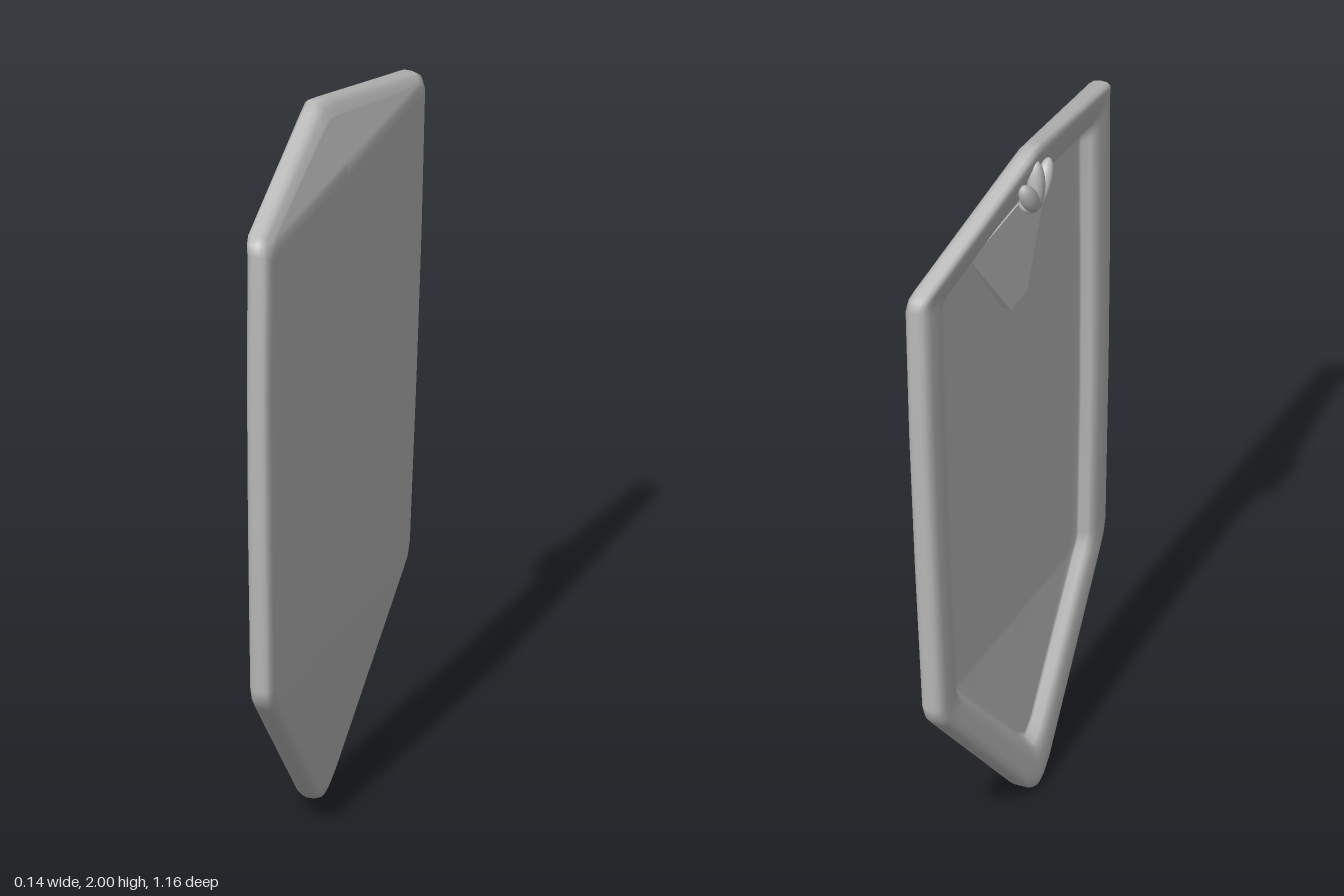
import * as THREE from 'three';
import { ConvexGeometry } from 'three/addons/geometries/ConvexGeometry.js';

const grey = new THREE.MeshStandardMaterial({ color: 0xbcbcbc });
grey.name = 'plain grey';

// Half outlines from top peak to bottom tip, as [y, z]
const OUTER = [[2, 0], [1.988, 0.05], [1.857, 0.55], [1.842, 0.572], [1.81, 0.579], [1.4, 0.567], [1, 0.545],
  [0.53, 0.512], [0.49, 0.498], [0.46, 0.472], [0.04, 0.07], [0.01, 0.03], [0, 0]];
const INNER = [[1.82, 0], [1.815, 0.05], [1.78, 0.43], [1.77, 0.45], [1.74, 0.455], [1.38, 0.45], [1, 0.435],
  [0.54, 0.405], [0.51, 0.392], [0.49, 0.372], [0.16, 0.05], [0.14, 0.02], [0.13, 0]];

// Outer face depth: nearly flat, bent back at the top and bottom
function bend(y) {
  if (y > 1.82) return 0.068 - (y - 1.82) * 0.37;
  if (y > 0.5) return 0.05 + (y - 0.5) * 0.0136;
  return 0.05 - (0.5 - y) * 0.09;
}

// Rings: [blend outer to inner outline, depth behind the face, z scale]
const RINGS = [
  [0.25, 0, 0], [0.25, 0, 0.5], [0.25, 0, 0.95], [0.25, 0, 1], [0.1, 0.004, 1], [0.03, 0.011, 1], [0, 0.022, 1],
  [0, 0.043, 1], [0.04, 0.055, 1], [0.14, 0.063, 1], [0.3, 0.067, 1], [0.7, 0.067, 1], [0.9, 0.063, 1],
  [1, 0.055, 1], [1.15, 0.036, 1], [1.22, 0.033, 1], [1.22, 0.033, 0.9], [1.22, 0.033, 0.5], [1.22, 0.033, 0],
];

function shellGeometry() {
  const positions = [], index = [];
  const half = OUTER.length, count = 2 * half - 2;
  for (const [t, depth, scale] of RINGS) {
    for (let i = 0; i < count; i++) {
      const k = i < half ? i : count - i;
      const side = i < half ? 1 : -1;
      const y = THREE.MathUtils.lerp(OUTER[k][0], INNER[k][0], t);
      const z = THREE.MathUtils.lerp(OUTER[k][1], INNER[k][1], t) * scale * side;
      positions.push(bend(y) - depth, y, z);
    }
  }
  for (let r = 0; r < RINGS.length - 1; r++) {
    for (let i = 0; i < count; i++) {
      const j = (i + 1) % count;
      const a = r * count + i, b = r * count + j;
      index.push(a, a + count, b + count, a, b + count, b);
    }
  }
  const geometry = new THREE.BufferGeometry();
  geometry.setAttribute('position', new THREE.Float32BufferAttribute(positions, 3));
  geometry.setIndex(index);
  geometry.computeVertexNormals();
  return geometry;
}

export function createModel() {
  const group = new THREE.Group();
  group.name = 'shield';
  const add = (name, geometry, parent = group) => {
    const mesh = new THREE.Mesh(geometry, grey);
    mesh.name = name;
    parent.add(mesh);
    return mesh;
  };

  // Bent plate with rounded rim and recessed back
  add('shieldBody', shellGeometry());

  // Tapered wedge inside the recess, below the top rim
  const corners = [];
  for (const s of [-1, 1]) {
    corners.push(
      new THREE.Vector3(0.03, 1.77, s * 0.24), new THREE.Vector3(0.036, 1.77, s * 0.24),
      new THREE.Vector3(0.003, 1.51, s * 0.05), new THREE.Vector3(0.036, 1.51, s * 0.05));
  }
  add('backWedge', new ConvexGeometry(corners));

  // Fan-shaped ornament on the back of the top rim
  const ornament = new THREE.Group();
  ornament.name = 'rimOrnament';
  ornament.position.set(-0.04, 1.81, 0);
  group.add(ornament);
  for (const k of [-1, 0, 1]) {
    const angle = k * 0.62;
    const length = k === 0 ? 0.075 : 0.07;
    const petal = add('ornamentPetal', new THREE.SphereGeometry(1, 14, 10), ornament);
    petal.scale.set(0.024, length, 0.027);
    petal.rotation.x = angle;
    petal.position.set(-0.006, Math.cos(angle) * length, Math.sin(angle) * length);
  }
  const base = add('ornamentBase', new THREE.SphereGeometry(1, 14, 10), ornament);
  base.scale.set(0.03, 0.025, 0.03);
  base.position.set(0.012, 0.012, 0);

  return group;
}
